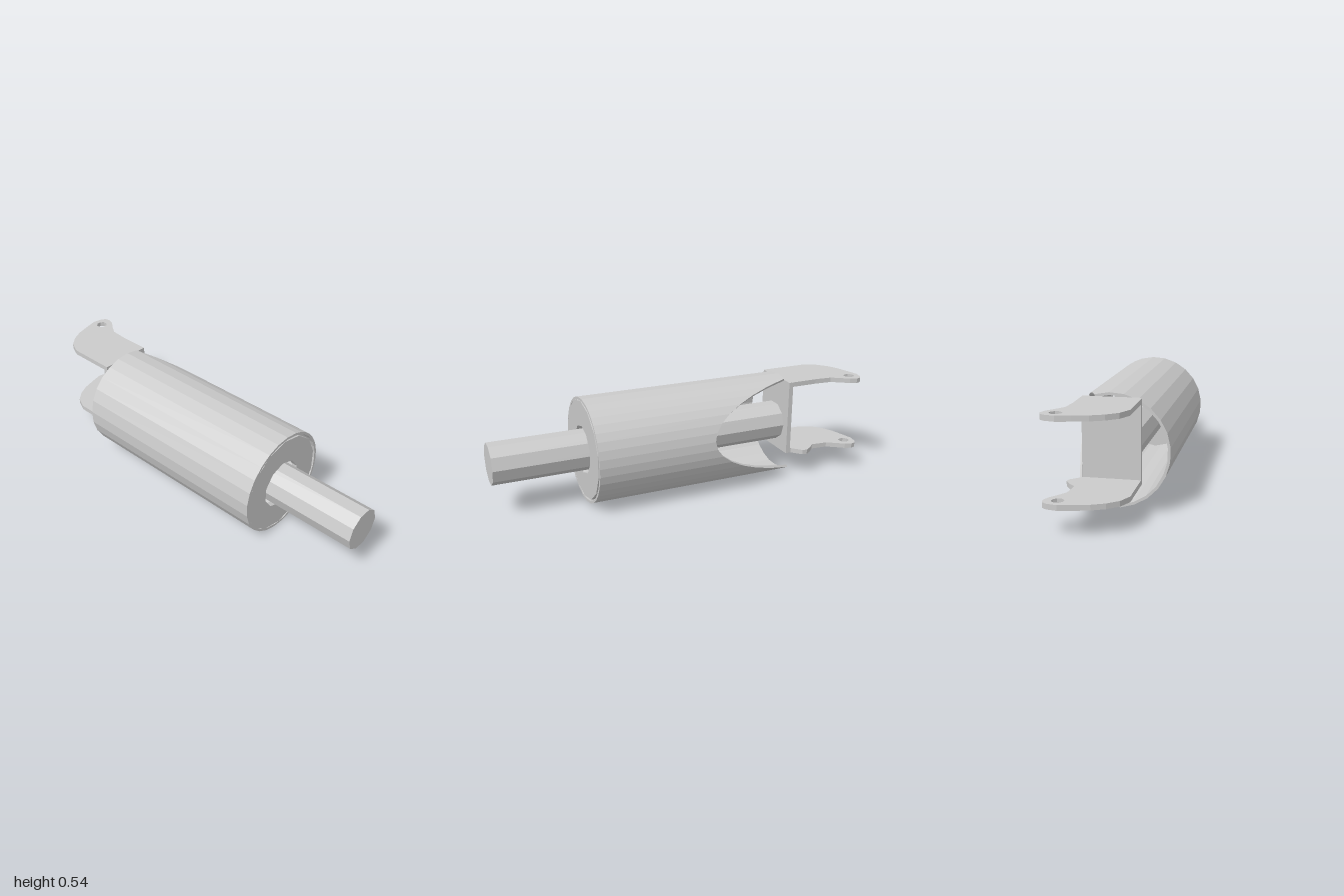
import * as THREE from 'three';

const AXIS_Y = 0.271, FRONT = 0.53, BACK = -0.575;

function material() {
  return new THREE.MeshStandardMaterial({ color: 0xcccccc, flatShading: true, side: THREE.DoubleSide });
}

function part(name, geometry) {
  const mesh = new THREE.Mesh(geometry, material());
  mesh.name = name;
  return mesh;
}

// Points of a regular polygon
function polygon(cx, cy, r, n, start) {
  return Array.from({ length: n }, (_, i) => {
    const a = start + (i / n) * Math.PI * 2;
    return new THREE.Vector2(cx + r * Math.cos(a), cy + r * Math.sin(a));
  });
}

function plate(points, hole, depth) {
  const shape = new THREE.Shape(points);
  if (hole) shape.holes.push(new THREE.Path(hole));
  return new THREE.ExtrudeGeometry(shape, { depth, bevelEnabled: false });
}

// Thin-walled tube whose back end is sliced off by a slanted plane on one side
function cutTube() {
  const R = 0.272, r = 0.259, mid = THREE.MathUtils.degToRad(9), half = THREE.MathUtils.degToRad(64);
  const angles = [];
  for (let i = 0; i < 14; i++) angles.push(-half + (2 * half * i) / 14);
  for (let i = 0; i < 16; i++) angles.push(half + ((2 * Math.PI - 2 * half) * i) / 16);
  const pos = [], index = [];
  for (const a of angles) {
    const t = Math.max(0, (Math.cos(a) - Math.cos(half)) / (1 - Math.cos(half)));
    const z = BACK + t * 0.495;
    const c = Math.cos(a + mid), s = Math.sin(a + mid);
    for (const [rad, zz] of [[R, FRONT], [R, z], [r, z], [r, FRONT]]) {
      pos.push(rad * c, AXIS_Y + rad * s, zz);
    }
  }
  const n = angles.length;
  for (let i = 0; i < n; i++) {
    for (let k = 0; k < 4; k++) {
      const a = i * 4 + k, b = i * 4 + ((k + 1) % 4);
      const c = ((i + 1) % n) * 4 + ((k + 1) % 4), d = ((i + 1) % n) * 4 + k;
      index.push(a, b, c, a, c, d);
    }
  }
  const g = new THREE.BufferGeometry();
  g.setAttribute('position', new THREE.Float32BufferAttribute(pos, 3));
  g.setIndex(index);
  const flat = g.toNonIndexed();
  flat.computeVertexNormals();
  return flat;
}

// Curved bracket arm lying flat, outlined as [x, distance behind centre]
function armGeometry(withTab) {
  const outline = [[-0.14, 0.575], [0.135, 0.575]];
  if (withTab) outline.push([0.135, 0.605], [0.185, 0.65], [0.188, 0.675], [0.165, 0.71]);
  outline.push(
    [0.133, 0.74], [0.14, 0.83], [0.17, 0.875], [0.2, 0.915], [0.212, 0.95], [0.205, 0.975],
    [0.185, 0.99], [0.135, 1.0], [0.07, 0.985], [0, 0.967], [-0.06, 0.938], [-0.11, 0.895], [-0.14, 0.83]
  );
  const hole = polygon(0.147, 0.943, 0.029, 8, Math.PI / 8);
  return plate(outline.map(([x, y]) => new THREE.Vector2(x, y)), hole, 0.025).rotateX(-Math.PI / 2);
}

export function createModel() {
  const model = new THREE.Group();
  model.name = 'bracketedCylinder';

  model.add(part('cutTube', cutTube()));

  // Front end disc with a ten-sided opening
  const cap = part('endCap', plate(
    polygon(-0.008, AXIS_Y, 0.256, 14, Math.PI / 14),
    polygon(-0.01, AXIS_Y, 0.126, 10, Math.PI / 10), 0.03));
  cap.position.z = FRONT - 0.03;
  model.add(cap);

  // Ten-sided shaft along the axis
  const shaft = part('shaft', plate(polygon(-0.01, AXIS_Y, 0.105, 10, 0), null, 1 - BACK));
  shaft.position.z = BACK;
  model.add(shaft);

  // Fork bracket: back plate with two arms
  const bracket = new THREE.Group();
  bracket.name = 'forkBracket';
  const back = part('bracketPlate', new THREE.BoxGeometry(0.275, 0.4, 0.024));
  back.position.set(-0.0025, 0.322, BACK - 0.012);
  const upper = part('upperArm', armGeometry(false));
  upper.position.y = 0.498;
  const lower = part('lowerArm', armGeometry(true));
  lower.position.y = 0.121;
  bracket.add(back, upper, lower);
  model.add(bracket);

  return model;
}
